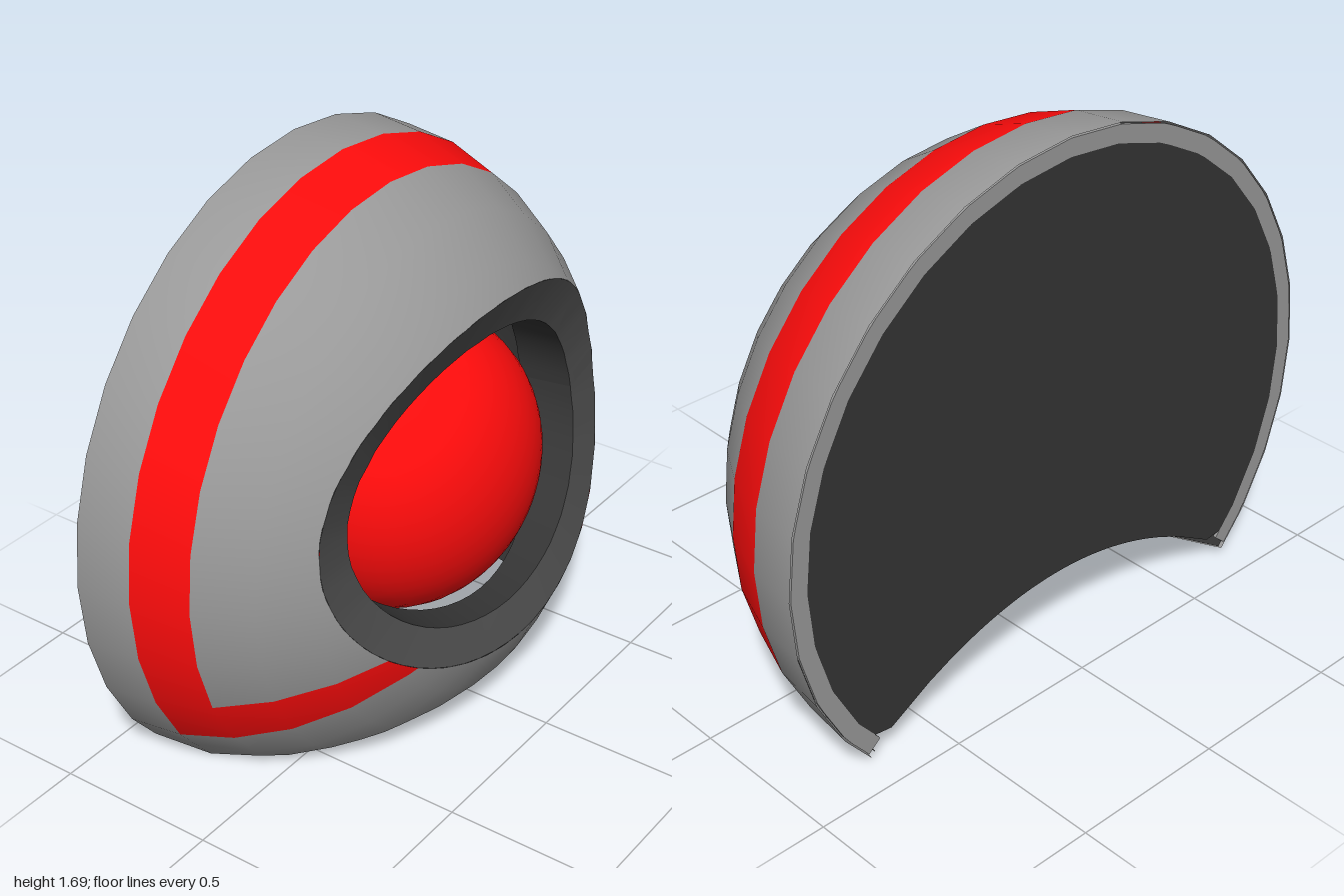
import * as THREE from 'three';

const CY = 0.69, CZ = -0.4, RZ = 0.87;      // centre and depth radius of the dome
const STEP = Math.PI / 16, SUB = 4, N = 32 * SUB, ROWS = 8;
const rad = THREE.MathUtils.degToRad;

const mat = (color) => new THREE.MeshStandardMaterial({ color, side: THREE.DoubleSide });

// Keeps the 32-sided outline when a side is subdivided
function sideFactor(phi) {
  const m = ((phi % STEP) + STEP) % STEP;
  return Math.cos(STEP / 2) / Math.cos(m - STEP / 2);
}

// Radius at which a ray from the dome axis meets the eye opening
function openingRadius(phi) {
  const a = 0.725, b = 0.52, ox = -0.02, oy = CY - 0.8;
  const c = Math.cos(phi), s = Math.sin(phi);
  const A = (c / a) ** 2 + (s / b) ** 2;
  const B = (ox * c) / a ** 2 + (oy * s) / b ** 2;
  const C = (ox / a) ** 2 + (oy / b) ** 2 - 1;
  return (-B + Math.sqrt(B * B - A * C)) / A;
}

// Radius at which a ray meets an arched bottom cut, y = top - curve * x^2
function cutRadius(phi, top, curve) {
  const c = Math.cos(phi), s = Math.sin(phi), drop = CY - top;
  const D = s * s - 4 * curve * c * c * drop;
  return s > 0 || D < 0 ? 2 : (2 * drop) / (Math.sqrt(D) - s);
}

const surfaceZ = (x, y) => {
  const k = sideFactor(Math.atan2(y - CY, x));
  return CZ + RZ * Math.sqrt(Math.max(0, 1 - (x * x + (y - CY) ** 2) / (k * k)));
};

// Cells of the dome grid chosen by a test, trimmed to the opening and the cut
function domeGeometry(choose, scale = 1) {
  const pos = [], nor = [], idx = [];
  for (let i = 0; i <= ROWS; i++) {
    for (let j = 0; j <= N; j++) {
      const phi = (j / N) * Math.PI * 2, k = sideFactor(phi);
      const low = openingRadius(phi) / k, high = Math.min(1, cutRadius(phi, 0.13, 0.277) / k);
      const r = Math.min(Math.max(Math.cos(i * STEP), low), high);
      const z = Math.sqrt(Math.max(0, 1 - r * r));
      const x = r * Math.cos(phi), y = r * Math.sin(phi);
      pos.push(x * k * scale, CY + y * k * scale, CZ + z * RZ * scale);
      const n = new THREE.Vector3(x, y, z / RZ).normalize();
      nor.push(n.x, n.y, n.z);
    }
  }
  // Rows follow circles of latitude, columns are counted in whole sides
  for (let i = 0; i < ROWS; i++) {
    for (let j = 0; j < N; j++) {
      if (!choose(i, Math.floor(j / SUB))) continue;
      const a = i * (N + 1) + j, d = a + N + 1;
      const same = (p, q) => Math.abs(pos[p * 3 + 2] - pos[q * 3 + 2]) < 1e-7;
      if (same(a, d) && same(a + 1, d + 1)) continue;
      idx.push(a, a + 1, d + 1, a, d + 1, d);
    }
  }
  const g = new THREE.BufferGeometry();
  g.setAttribute('position', new THREE.Float32BufferAttribute(pos, 3));
  g.setAttribute('normal', new THREE.Float32BufferAttribute(nor, 3));
  g.setIndex(idx);
  return g;
}

// Band between two closed loops given as functions of the angle
function loopBand(outer, inner, n = 64) {
  const pos = [], idx = [];
  for (let j = 0; j <= n; j++) {
    const t = (j / n) * Math.PI * 2;
    pos.push(...outer(t), ...inner(t));
    if (j < n) {
      const a = j * 2;
      idx.push(a, a + 2, a + 3, a, a + 3, a + 1);
    }
  }
  const g = new THREE.BufferGeometry();
  g.setAttribute('position', new THREE.Float32BufferAttribute(pos, 3));
  g.setIndex(idx);
  g.computeVertexNormals();
  return g;
}

// Outline point of the back plate, which is cut higher than the shell
function platePoint(phi, r) {
  const q = Math.min(r * sideFactor(phi), cutRadius(phi, 0.3, 0.48));
  return new THREE.Vector2(q * Math.cos(phi), CY + q * Math.sin(phi));
}

export function createModel() {
  const group = new THREE.Group();
  const grey = mat(0x999999), red = mat(0xff0c0c), dark = mat(0x343434), trim = mat(0x4c4c4c);
  const add = (name, geometry, material) => {
    const mesh = new THREE.Mesh(geometry, material);
    mesh.name = name;
    group.add(mesh);
    return mesh;
  };

  // Shell with a red band that turns in towards the opening on both sides
  const isRed = (row, side) => {
    const arm = side === 18 || side === 29;
    return (row === 1 && (side <= 18 || side >= 29)) || (row >= 2 && arm);
  };
  add('shell', domeGeometry((r, s) => !isRed(r, s)), grey);
  add('stripe', domeGeometry(isRed), red);
  add('shellLining', domeGeometry(() => true, 0.98), dark);

  // Eye socket: rim sloping in at top and bottom, then a short tunnel
  const oval = (cx, cy, a, b, shift, drop, sideDrop) => (t) => {
    const c = Math.cos(t), s = Math.sin(t);
    const z = surfaceZ(shift + 0.725 * c, 0.8 + 0.52 * s);
    return [cx + a * c, cy + b * s, z - drop * s * s - sideDrop * c * c];
  };
  const rimEdge = oval(0.015, 0.785, 0.57, 0.412, 0, 0.05, 0);
  add('socketRim', loopBand(oval(0.02, 0.8, 0.725, 0.52, 0.02, 0, 0), rimEdge), trim);
  add('socketTunnel', loopBand(rimEdge, oval(0.02, 0.785, 0.535, 0.41, 0, 0.15, 0.16)), dark);

  // Eye: a hollow, slightly flattened half sphere facing forward
  const eye = new THREE.SphereGeometry(0.455, 40, 16, 0, Math.PI * 2, 0, Math.PI / 2);
  eye.rotateX(Math.PI / 2);
  eye.scale(1, 1, 0.857);
  add('eye', eye, red).position.set(0, 0.75, -0.025);

  // Back plate with a grey edge, open along the bottom cut
  const plate = [], edgeOut = [], edgeIn = [];
  for (let j = 0; j < N; j++) plate.push(platePoint((j / N) * Math.PI * 2, 0.94));
  for (let j = 0; j <= 96; j++) {
    const phi = rad(-41 + (j / 96) * 262);
    edgeOut.push(platePoint(phi, 0.995));
    edgeIn.unshift(platePoint(phi, 0.94));
  }
  const slab = (points, depth) =>
    new THREE.ExtrudeGeometry(new THREE.Shape(points), { depth, bevelEnabled: false });
  add('backPlate', slab(plate, 0.04), dark).position.z = CZ;
  add('backEdge', slab([...edgeOut, ...edgeIn], 0.01), grey).position.z = CZ;

  return group;
}
